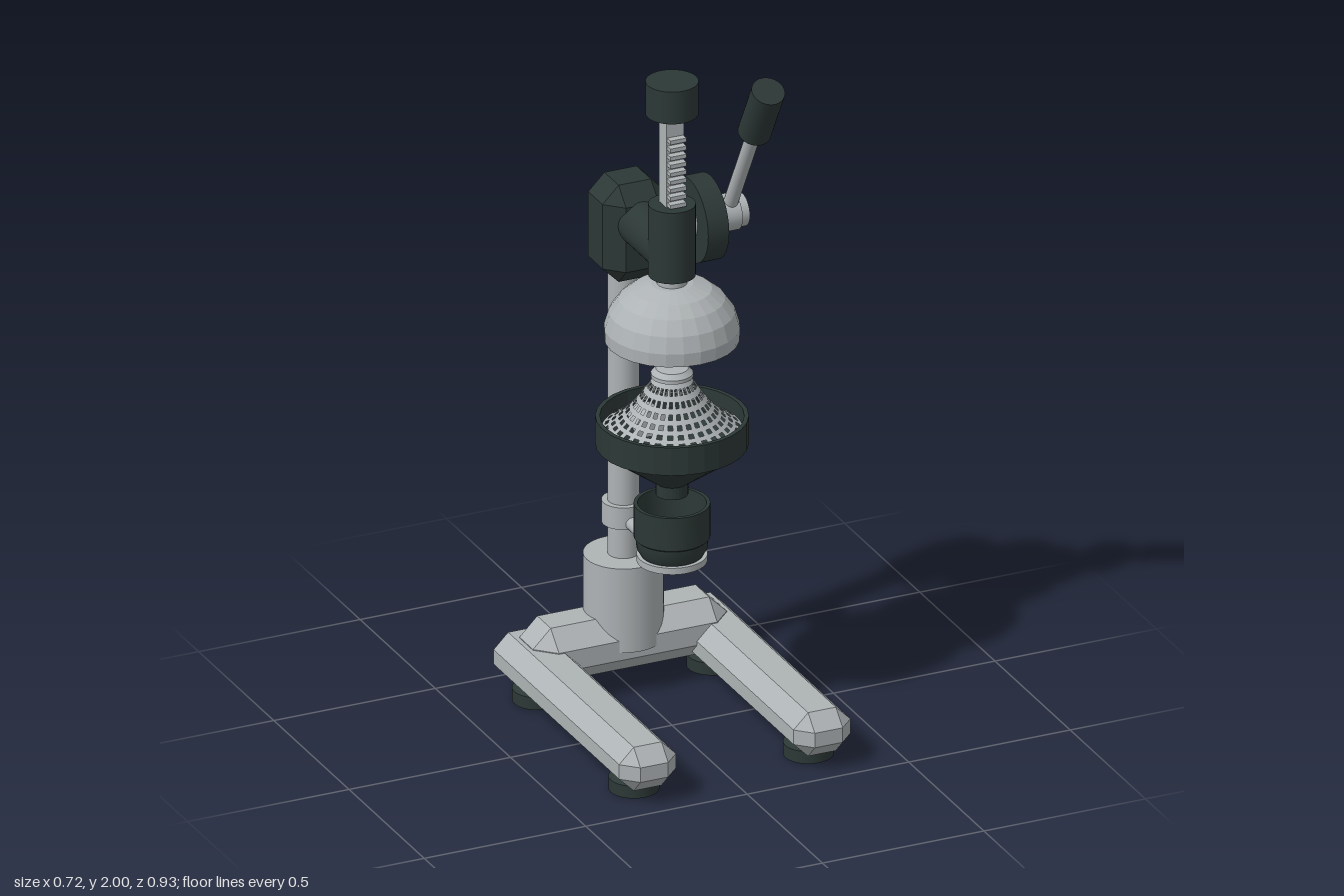
import * as THREE from 'three';
import { mergeGeometries, toCreasedNormals } from 'three/addons/utils/BufferGeometryUtils.js';
import { ConvexGeometry } from 'three/addons/geometries/ConvexGeometry.js';

export function createModel() {
  const model = new THREE.Group();
  model.name = 'leverPress';
  const steel = new THREE.MeshStandardMaterial({ color: 0xaeb3b5, side: THREE.DoubleSide });
  steel.name = 'steelGrey';
  const dark = new THREE.MeshStandardMaterial({ color: 0x2c3836 });
  dark.name = 'darkGreenBlack';

  const add = (name, geo, mat, x = 0, y = 0, z = 0) => {
    const mesh = new THREE.Mesh(geo, mat);
    mesh.name = name;
    mesh.position.set(x, y, z);
    model.add(mesh);
    return mesh;
  };

  // Box with every edge cut at 45 degrees
  const chamferBox = (w, h, d, c) => {
    const pts = [];
    for (const sx of [-1, 1]) for (const sy of [-1, 1]) for (const sz of [-1, 1]) {
      for (let full = 0; full < 3; full++) {
        const cut = (size, axis) => size / 2 - (axis === full ? 0 : c);
        pts.push(new THREE.Vector3(sx * cut(w, 0), sy * cut(h, 1), sz * cut(d, 2)));
      }
    }
    return new ConvexGeometry(pts);
  };

  // Turned part from [radius, height] pairs, outside from bottom to top
  const turned = (profile, sides = 32, crease = 0.5) => toCreasedNormals(
    new THREE.LatheGeometry(profile.map(([r, y]) => new THREE.Vector2(r, y)), sides), crease);

  // Cylinder between two points
  const rod = (name, a, b, r, mat, sides = 32) => {
    const from = new THREE.Vector3(...a), to = new THREE.Vector3(...b);
    const dir = to.clone().sub(from);
    const mesh = add(name, new THREE.CylinderGeometry(r, r, dir.length(), sides), mat);
    mesh.position.copy(from).add(to).multiplyScalar(0.5);
    mesh.quaternion.setFromUnitVectors(new THREE.Vector3(0, 1, 0), dir.normalize());
    return mesh;
  };

  // Base: two legs, crossbar and four feet
  const foot = turned([[0, 0], [0.072, 0], [0.072, 0.038], [0.05, 0.06], [0, 0.06]], 24);
  for (const s of [-1, 1]) {
    const side = s > 0 ? 'left' : 'right';
    add(side + 'Leg', chamferBox(0.176, 0.135, 0.925, 0.045), steel, s * 0.27, 0.105, 0);
    add(side + 'FrontFoot', foot, dark, s * 0.27, 0, 0.327);
    add(side + 'RearFoot', foot, dark, s * 0.27, 0, -0.315);
  }
  add('crossbar', chamferBox(0.6, 0.17, 0.2, 0.055), steel, 0, 0.145, -0.325);

  // Column
  const colZ = -0.323;
  rod('columnSocket', [0, 0.14, colZ], [0, 0.4, colZ], 0.114, steel);
  rod('column', [0, 0.3, colZ], [0, 1.35, colZ], 0.045, steel);
  rod('columnCollar', [0, 0.497, colZ], [0, 0.565, colZ], 0.062, steel);

  // Cup on its swing arm
  rod('cupArm', [0, 0.513, colZ], [0, 0.513, 0], 0.02, steel, 16);
  rod('cupPlate', [0, 0.514, 0], [0, 0.534, 0], 0.1, steel);
  add('cup', turned([[0, 0.534], [0.088, 0.534], [0.1, 0.555], [0.102, 0.585], [0.108, 0.59],
    [0.108, 0.692], [0.097, 0.692], [0.09, 0.56], [0, 0.56]]), dark);

  // Juice bowl with spout and support arm
  rod('bowlArm', [0, 0.87, colZ], [0, 0.87, -0.13], 0.05, steel);
  add('bowl', turned([[0, 0.72], [0.046, 0.72], [0.046, 0.757], [0.203, 0.872], [0.216, 0.876],
    [0.216, 0.962], [0.203, 0.962], [0.2, 0.89], [0.035, 0.775], [0, 0.775]], 28, 0.1), dark);

  // Perforated strainer: solid bands alternate with rows of short bars
  const slices = 60, rows = 7;
  const strainerParts = [];
  const radiusAt = (t) => 0.2 - 0.15 * t;
  const heightAt = (t) => 0.918 + 0.167 * t - 0.022 * Math.sin(Math.PI * t);
  for (let i = 0; i < rows * 2 + 1; i++) {
    const t0 = i / (rows * 2 + 1), t1 = (i + 1) / (rows * 2 + 1);
    const y0 = heightAt(t0), y1 = heightAt(t1);
    const piece = (n, start, len) => strainerParts.push(
      new THREE.CylinderGeometry(radiusAt(t1), radiusAt(t0), y1 - y0, n, 1, true, start, len)
        .translate(0, (y0 + y1) / 2, 0));
    if (i % 2 === 0) piece(slices, 0, Math.PI * 2);
    else for (let k = 0; k < slices; k += 2) piece(1, k / slices * Math.PI * 2, Math.PI * 2 / slices);
  }
  add('strainer', mergeGeometries(strainerParts), steel);
  add('strainerTip', turned([[0.05, 1.083], [0.06, 1.085], [0.06, 1.096], [0.046, 1.11], [0, 1.113]], 24), steel);

  // Hollow press dome
  add('pressDome', turned([[0.19, 1.2], [0.192, 1.24], [0.178, 1.287], [0.15, 1.327], [0.113, 1.357],
    [0.06, 1.374], [0, 1.376], [0, 1.362], [0.055, 1.36], [0.105, 1.343], [0.14, 1.315],
    [0.166, 1.28], [0.178, 1.24], [0.176, 1.2], [0.19, 1.2]], 24, 0.05), steel);
  rod('pressNeck', [0, 1.36, 0], [0, 1.42, 0], 0.043, steel);

  // Toothed shaft with its cap
  add('rackShaft', new THREE.BoxGeometry(0.054, 0.52, 0.048), steel, 0, 1.66, -0.003);
  for (let i = 0; i < 9; i++) {
    add('rackTooth', new THREE.BoxGeometry(0.05, 0.012, 0.024), steel, 0, 1.63 + i * 0.025, 0.031);
  }
  rod('shaftCap', [0, 1.9, 0], [0, 2, 0], 0.075, dark);

  // Head: sleeve, arm and column block
  rod('shaftSleeve', [0, 1.4, 0], [0, 1.62, 0], 0.067, dark);
  rod('headArm', [0, 1.47, -0.01], [0, 1.47, -0.28], 0.067, dark);
  add('headBlock', chamferBox(0.2, 0.3, 0.195, 0.05), dark, 0, 1.43, -0.295);

  // Axle, pinion housing and lever
  const hub = [1.457, -0.195];
  rod('axle', [0, ...hub], [0.285, ...hub], 0.054, steel);
  rod('axleEnd', [0.28, ...hub], [0.31, ...hub], 0.048, steel);
  rod('pinionHousing', [0.145, ...hub], [0.21, ...hub], 0.125, dark);
  const along = (t) => [0.262, hub[0] + 0.875 * t, hub[1] + 0.485 * t];
  rod('leverRod', along(0), along(0.4), 0.021, steel, 20);
  rod('leverGrip', along(0.372), along(0.562), 0.048, dark);

  return model;
}
